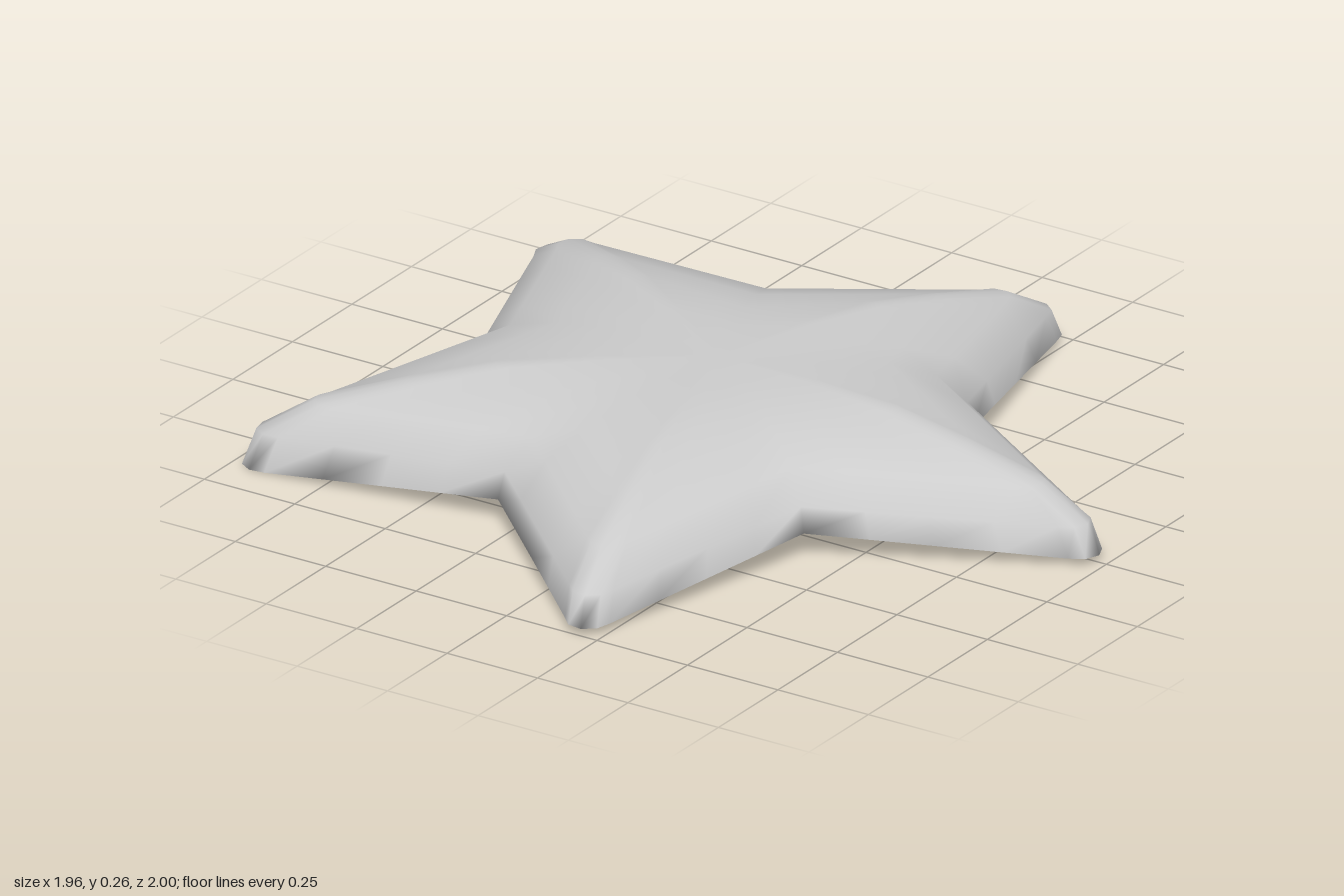
import * as THREE from 'three';

// Arm tips and the notches that follow them, as [x, z], going round the star
const TIPS = [[0.98, 0], [0.205, 1], [-0.975, 0.63], [-0.975, -0.63], [0.205, -1]];
const NOTCHES = [[0.4, 0.36], [-0.3, 0.58], [-0.75, 0], [-0.3, -0.58], [0.4, -0.36]];
const CENTRE = new THREE.Vector2(-0.07, 0);

// Rings from rim to crown: scale about the centre, height on an arm, extra height at a notch
const RINGS = [
  [1, 0.018, 0.047], [0.97, 0.09, 0.035], [0.85, 0.16, 0.035],
  [0.66, 0.208, 0.025], [0.47, 0.247, 0.006], [0.26, 0.26, 0],
];
const CROWN = 0.262;
const STEPS = 4;

// Rounded star outline; w is 0 at an arm tip and 1 at a notch
function starOutline() {
  const points = [];
  const corner = [[0.05, -0.055], [0.015, -0.035], [0, 0], [0.015, 0.035], [0.05, 0.055]];
  const tipPoints = TIPS.map(([x, z]) => {
    const tip = new THREE.Vector2(x, z);
    const out = tip.clone().sub(CENTRE).normalize();
    const side = new THREE.Vector2(-out.y, out.x);
    return corner.map(([back, across]) =>
      tip.clone().addScaledVector(out, -back).addScaledVector(side, across));
  });
  tipPoints.forEach((tip, i) => {
    tip.forEach((p) => points.push({ p, w: 0 }));
    const notch = new THREE.Vector2(...NOTCHES[i]);
    const next = tipPoints[(i + 1) % 5][0];
    for (let k = 1; k <= STEPS; k++) {
      points.push({ p: tip[4].clone().lerp(notch, k / STEPS), w: k / STEPS });
    }
    for (let k = 1; k < STEPS; k++) {
      points.push({ p: notch.clone().lerp(next, k / STEPS), w: 1 - k / STEPS });
    }
  });
  return points;
}

// Domed top closed by a shallow underside that follows the rim
function bodyGeometry() {
  const outline = starOutline();
  const n = outline.length;
  const positions = [];
  const indices = [];
  RINGS.forEach(([scale, height, lift], r) => {
    for (const { p, w } of outline) {
      const q = CENTRE.clone().lerp(p, scale);
      // the rim of the two rear arms hangs slightly lower
      const droop = r === 0 ? 0.018 * Math.max(0, -q.x) : 0;
      positions.push(q.x, height + lift * w - droop, q.y);
    }
  });
  positions.push(CENTRE.x, CROWN, CENTRE.y);
  const top = RINGS.length * n;
  for (let r = 0; r < RINGS.length; r++) {
    for (let i = 0; i < n; i++) {
      const j = (i + 1) % n;
      const a = r * n + i, b = r * n + j;
      if (r === RINGS.length - 1) indices.push(a, top, b);
      else indices.push(a, a + n, b, b, a + n, b + n);
    }
  }
  // underside, sharing the rim vertices so the edge shades smoothly
  const rim = outline.map(({ p }) => p);
  for (const face of THREE.ShapeUtils.triangulateShape(rim, [])) indices.push(...face);

  const geometry = new THREE.BufferGeometry();
  geometry.setAttribute('position', new THREE.Float32BufferAttribute(positions, 3));
  geometry.setIndex(indices);
  geometry.computeVertexNormals();
  return geometry;
}

export function createModel() {
  const group = new THREE.Group();
  group.name = 'starfish';
  const material = new THREE.MeshStandardMaterial({ color: 0xcccccc });
  const body = new THREE.Mesh(bodyGeometry(), material);
  body.name = 'starBody';
  group.add(body);
  return group;
}
